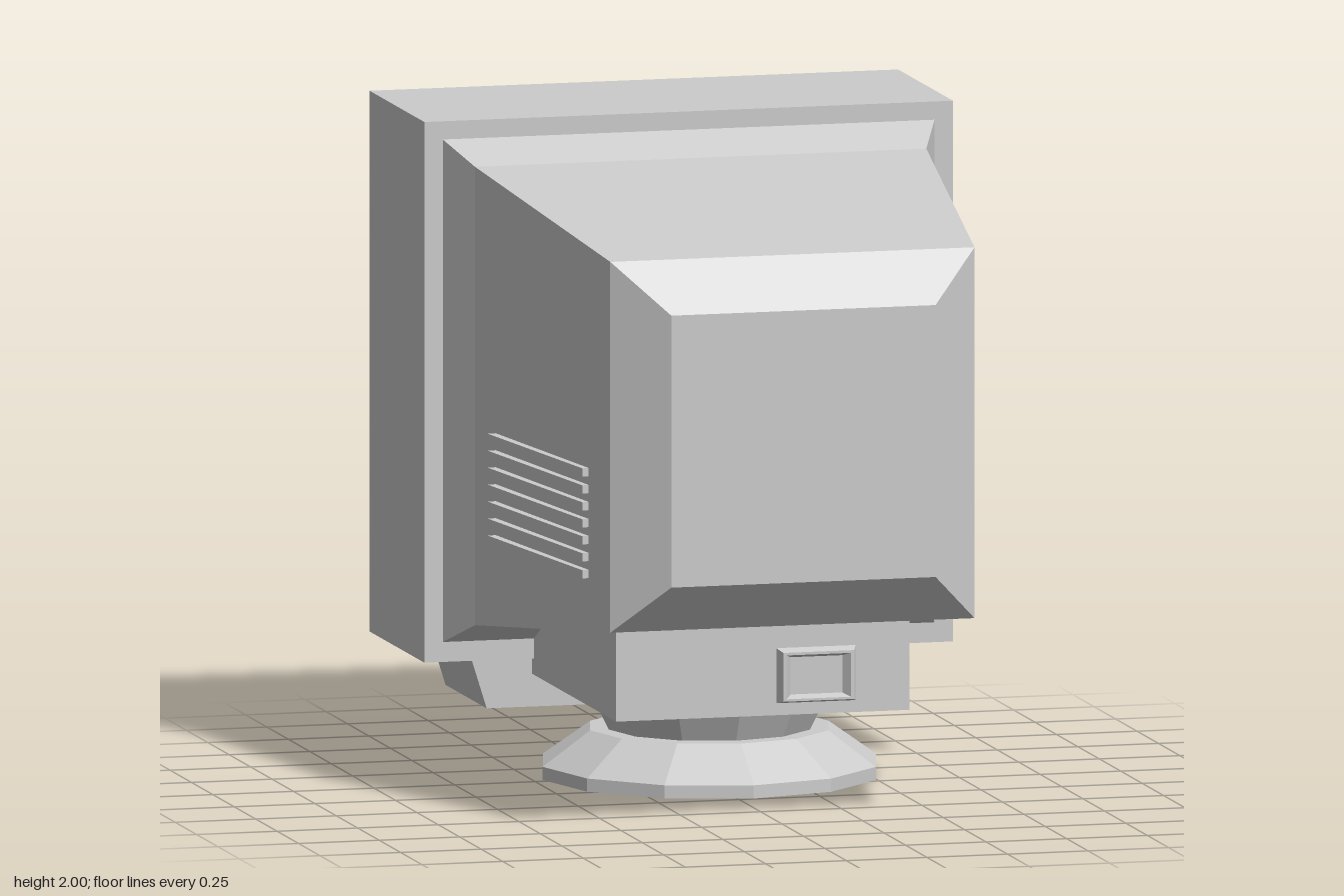
import * as THREE from 'three';

const grey = () => new THREE.MeshStandardMaterial({ color: 0xcccccc, flatShading: true });

function add(parent, name, geometry, x = 0, y = 0, z = 0) {
  const mesh = new THREE.Mesh(geometry, grey());
  mesh.name = name;
  mesh.position.set(x, y, z);
  parent.add(mesh);
  return mesh;
}

// Skin a run of rectangular sections [z, x0, x1, y0, y1] and cap both ends.
function loft(sections) {
  const rings = sections.map(([z, x0, x1, y0, y1]) =>
    [[x0, y0, z], [x1, y0, z], [x1, y1, z], [x0, y1, z]]);
  const pos = [];
  const quad = (a, b, c, d) => pos.push(...a, ...b, ...c, ...a, ...c, ...d);
  for (let k = 0; k < rings.length - 1; k++) {
    const a = rings[k], b = rings[k + 1];
    for (let i = 0; i < 4; i++) {
      const j = (i + 1) % 4;
      quad(a[i], a[j], b[j], b[i]);
    }
  }
  const [p, q, r, s] = rings[0];
  quad(s, r, q, p);
  quad(...rings[rings.length - 1]);
  const g = new THREE.BufferGeometry();
  g.setAttribute('position', new THREE.Float32BufferAttribute(pos, 3));
  g.computeVertexNormals();
  return g;
}

// Thin slat running between two points on the shell's side.
function slat(parent, from, to) {
  const a = new THREE.Vector3(...from), b = new THREE.Vector3(...to);
  const mid = a.clone().add(b).multiplyScalar(0.5);
  const mesh = add(parent, 'ventSlat', new THREE.BoxGeometry(0.03, 0.025, a.distanceTo(b)));
  mesh.position.copy(mid);
  mesh.lookAt(b);
}

export function createModel() {
  const model = new THREE.Group();
  model.name = 'monitor';

  // Screen housing: sunken screen, bevelled opening, deep square frame
  add(model, 'screenHousing', loft([
    [-0.875, -0.605, 0.605, 0.715, 1.785],
    [-0.925, -0.605, 0.605, 0.715, 1.785],
    [-0.98, -0.66, 0.66, 0.66, 1.84],
    [-0.98, -0.82, 0.82, 0.36, 2],
    [-0.34, -0.82, 0.82, 0.36, 2],
  ]));

  // Tapering rear shell
  add(model, 'rearShell', loft([
    [-0.345, -0.765, 0.765, 0.418, 1.947],
    [-0.2, -0.7, 0.7, 0.49, 1.88],
    [0.87, -0.565, 0.565, 0.62, 1.745],
    [1, -0.41, 0.41, 0.77, 1.595],
  ]));

  // Side vents
  const vents = new THREE.Group();
  vents.name = 'vents';
  model.add(vents);
  for (let i = 0; i < 7; i++) {
    const y = 1.083 - i * 0.0515;
    slat(vents, [-0.69, y, -0.035], [-0.592, y, 0.7]);
    slat(vents, [0.687, y - 0.03, 0], [0.582, y - 0.017, 0.735]);
  }

  // Connector box under the shell, with its framed socket
  add(model, 'connectorBox', new THREE.BoxGeometry(0.91, 0.28, 0.98), -0.025, 0.45, 0.13);
  add(model, 'socket', loft([
    [0.615, 0.015, 0.265, 0.345, 0.515],
    [0.652, 0.03, 0.25, 0.355, 0.503],
    [0.652, 0.04, 0.24, 0.362, 0.495],
    [0.625, 0.06, 0.22, 0.372, 0.485],
  ]));

  // Control panel below the screen, narrowing downwards
  const panelShape = new THREE.Shape([
    [-0.62, 0.21], [0.64, 0.21], [0.69, 0.37], [-0.67, 0.37],
  ].map(([x, y]) => new THREE.Vector2(x, y)));
  add(model, 'controlPanel',
    new THREE.ExtrudeGeometry(panelShape, { depth: 0.48, bevelEnabled: false }), 0, 0, -0.845);
  for (const x of [-0.11, -0.01, 0.09])
    add(model, 'controlButton', new THREE.BoxGeometry(0.06, 0.1, 0.05), x, 0.285, -0.85);

  // Power button and lamp
  add(model, 'powerButton', new THREE.BoxGeometry(0.12, 0.125, 0.04), -0.56, 0.497, -0.98);
  add(model, 'powerLamp', new THREE.SphereGeometry(0.025, 10, 8), -0.673, 0.485, -0.98);

  // Twelve-sided swivel foot
  const profile = [[0, 0], [0.517, 0], [0.517, 0.04], [0.37, 0.145], [0.312, 0.145],
    [0.375, 0.27], [0.375, 0.34], [0, 0.34]].map(([r, y]) => new THREE.Vector2(r, y));
  add(model, 'swivelFoot', new THREE.LatheGeometry(profile, 12), 0.047, 0, -0.275);

  return model;
}
